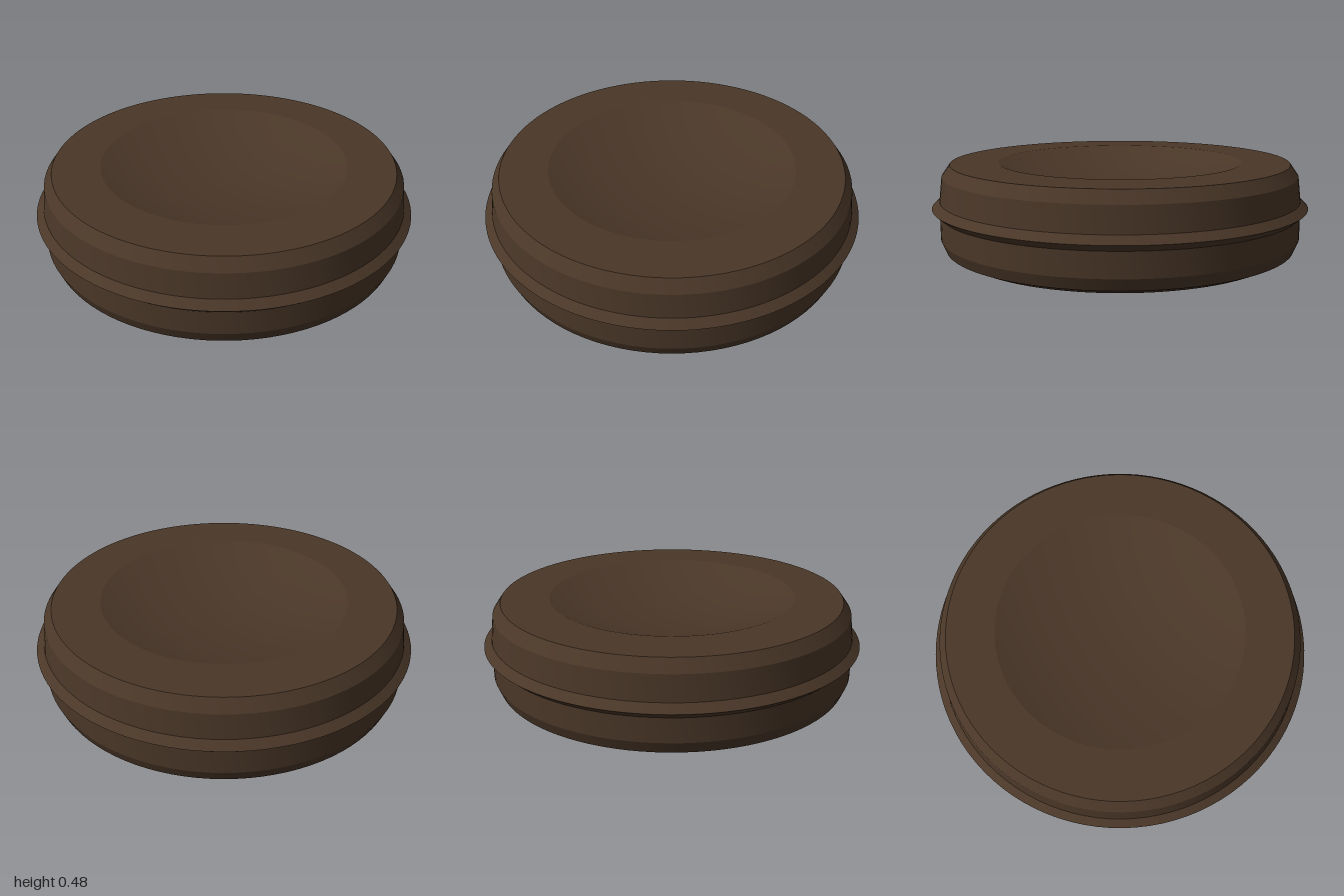
import * as THREE from 'three';
import { toCreasedNormals } from 'three/addons/utils/BufferGeometryUtils.js';

const SEGMENTS = 96;

export function createModel() {
  const group = new THREE.Group();
  const brown = new THREE.MeshStandardMaterial({ color: 0x4a3728 });
  brown.name = 'dark brown';

  // Turned part from [radius, height] pairs, listed from bottom to top of the outside
  const turn = (name, profile) => {
    const points = profile.map(([r, y]) => new THREE.Vector2(r, y));
    const geometry = toCreasedNormals(new THREE.LatheGeometry(points, SEGMENTS), 0.3);
    const mesh = new THREE.Mesh(geometry, brown);
    mesh.name = name;
    group.add(mesh);
  };

  // Lower half with a double chamfer under it
  turn('base', [[0, 0], [0.87, 0], [0.935, 0.03], [0.96, 0.09], [0.96, 0.215]]);

  // Pointed ridge around the middle
  turn('seamRidge', [[0.96, 0.215], [1, 0.25], [0.96, 0.287]]);

  // Upper half, tapering in to a chamfer and a flat rim
  turn('upperBody', [[0.96, 0.287], [0.945, 0.415], [0.902, 0.476], [0.65, 0.476]]);

  // Shallow round hollow in the top
  const dishRadius = 0.65, dishDepth = 0.11, steps = 14;
  const dish = [];
  for (let i = 0; i <= steps; i++) {
    const t = 1 - i / steps;
    dish.push([dishRadius * t, 0.476 - dishDepth * (1 - t * t)]);
  }
  turn('dish', dish);

  return group;
}
